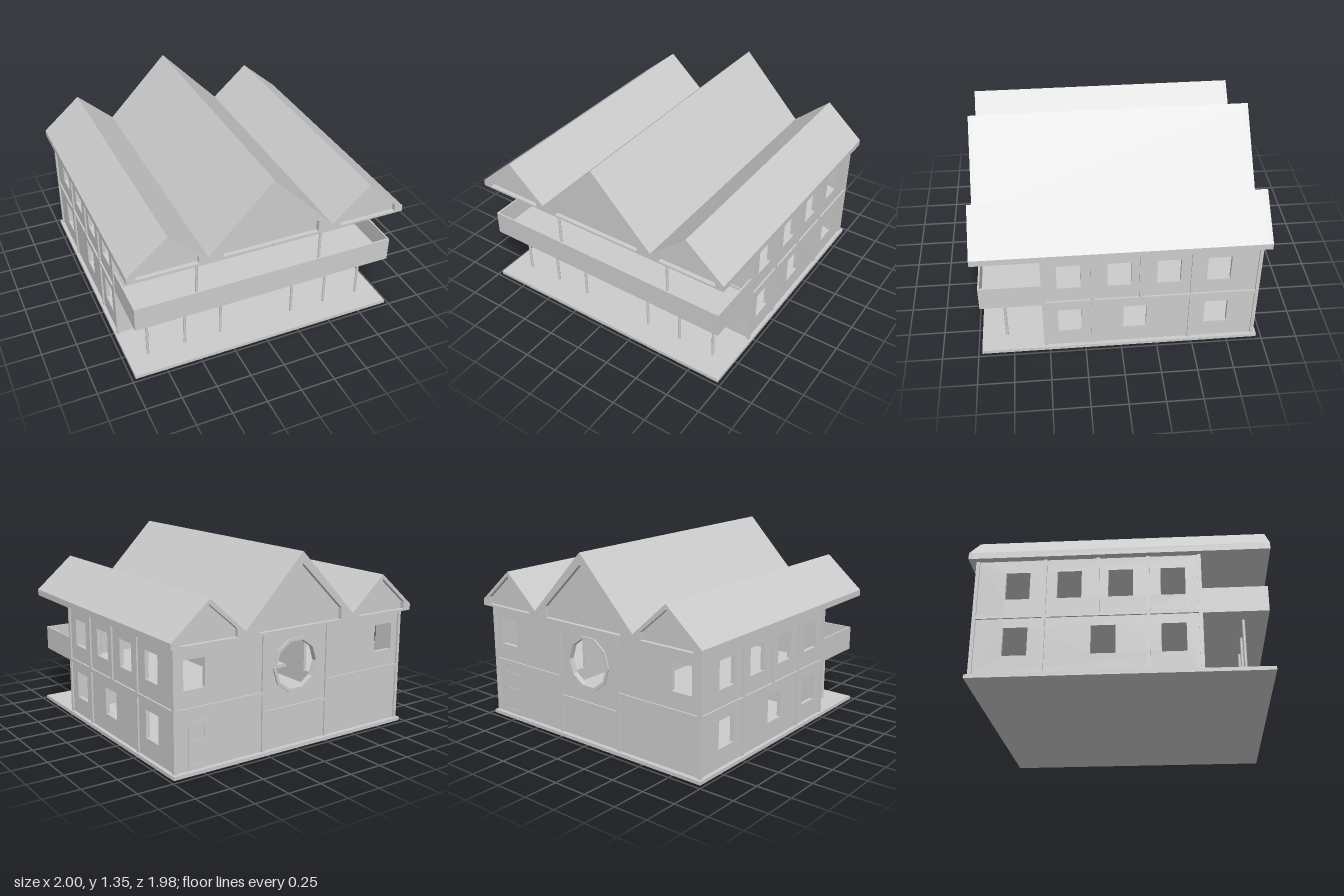
import * as THREE from 'three';

const mat = new THREE.MeshStandardMaterial({ color: 0xcccccc, flatShading: true, side: THREE.DoubleSide });

function add(parent, geo, name) {
  const m = new THREE.Mesh(geo, mat);
  m.name = name;
  parent.add(m);
  return m;
}

// box given by its extents on each axis
function box(parent, name, x0, x1, y0, y1, z0, z1) {
  const m = add(parent, new THREE.BoxGeometry(x1 - x0, y1 - y0, z1 - z0), name);
  m.position.set((x0 + x1) / 2, (y0 + y1) / 2, (z0 + z1) / 2);
  return m;
}

const rect = (u0, u1, v0, v1) => [[u0, v0], [u1, v0], [u1, v1], [u0, v1]];

const polygon = (cx, cy, r, n = 10) =>
  Array.from({ length: n }, (_, i) => {
    const a = (i / n) * Math.PI * 2;
    return [cx + r * Math.cos(a), cy + r * Math.sin(a)];
  });

// flat outline with holes, extruded from z0 to z1
function slab(parent, name, outline, holes, z0, z1) {
  const vec = pts => pts.map(p => new THREE.Vector2(p[0], p[1]));
  const shape = new THREE.Shape(vec(outline));
  holes.forEach(h => shape.holes.push(new THREE.Path(vec(h))));
  const m = add(parent, new THREE.ExtrudeGeometry(shape, { depth: z1 - z0, bevelEnabled: false }), name);
  m.position.z = z0;
  return m;
}

const GROUND = 0.025, FLOOR = 0.415, DECK = 0.44, EAVES = 0.84;
const HALF = 0.96, FRONT = 0.54, BACK = -0.945;
const WALL = 0.04, RECESS = 0.012;

// wall facing local +z with its outer frame plane at z = 0
function facade(name, u0, u1, holes) {
  const g = new THREE.Group();
  g.name = name;
  slab(g, name + 'Panel', rect(u0 + RECESS, u1 - RECESS, GROUND, EAVES), holes, -WALL, -RECESS);
  return g;
}

// timber strip lying on a facade
const strip = (g, u0, u1, v0, v1) => box(g, 'frameTimber', u0, u1, v0, v1, -RECESS - 0.005, 0);

const windowHole = (c, upper) => upper ? rect(c - 0.08, c + 0.08, 0.555, 0.75) : rect(c - 0.08, c + 0.08, 0.155, 0.35);

export function createModel() {
  const house = new THREE.Group();
  house.name = 'house';

  box(house, 'baseSlab', -0.975, 0.975, 0, GROUND, -0.965, 0.975);

  // front wall: double door, round opening, balcony doors and windows
  const front = facade('frontWall', -HALF, HALF, [
    rect(-0.155, 0.155, 0.035, 0.355),
    polygon(0, 0.635, 0.13),
    ...[-1, 1].flatMap(s => [
      windowHole(s * 0.42, false), windowHole(s * 0.475, true),
      rect(s * 0.79 - 0.078, s * 0.79 + 0.078, 0.445, 0.765),
    ]),
  ]);
  front.position.z = FRONT;
  for (const s of [-1, 1]) {
    strip(front, s * 0.27 - 0.011, s * 0.27 + 0.011, GROUND, EAVES);
    strip(front, s * 0.948 - 0.012, s * 0.948 + 0.012, GROUND, EAVES);
    box(front, 'frontDoorLeaf', s * 0.0775 - 0.076, s * 0.0775 + 0.076, 0.035, 0.355, -0.035, -0.022);
    box(front, 'balconyDoor', s * 0.79 - 0.078, s * 0.79 + 0.078, 0.44, 0.765, -0.035, -0.022);
    box(front, 'doorJamb', s * 0.16 - 0.006, s * 0.16 + 0.006, GROUND, 0.355, -0.02, -0.005);
  }
  house.add(front);

  // back wall: large round window, two small windows and a panelled door on the left
  const back = facade('backWall', -HALF, HALF, [
    polygon(0, 0.585, 0.17), windowHole(-0.8, true), windowHole(0.8, true),
  ]);
  back.rotation.y = Math.PI;
  back.position.z = BACK;
  slab(back, 'roundWindowFrame', polygon(0, 0.585, 0.192), [polygon(0, 0.585, 0.17)], -0.02, 0);
  for (const s of [-1, 1]) {
    strip(back, s * 0.27 - 0.011, s * 0.27 + 0.011, GROUND, EAVES);
    strip(back, s * 0.948 - 0.012, s * 0.948 + 0.012, GROUND, EAVES);
    strip(back, Math.min(s * 0.28, s * 0.936), Math.max(s * 0.28, s * 0.936), FLOOR, DECK);
  }
  strip(back, -0.26, 0.26, 0.28, 0.305);
  strip(back, -0.936, 0.936, 0.82, EAVES);
  slab(back, 'backDoor', rect(-0.85, -0.7, GROUND, 0.345),
    [rect(-0.825, -0.725, 0.06, 0.18), rect(-0.825, -0.725, 0.225, 0.315)], -0.015, -0.007);
  house.add(back);

  // side walls, mirrored: u runs along -z on the left, +z on the right
  for (const s of [1, -1]) {
    const u = z => -s * z;
    const span = (za, zb) => [Math.min(u(za), u(zb)), Math.max(u(za), u(zb))];
    const side = facade(s > 0 ? 'leftWall' : 'rightWall', ...span(FRONT, BACK), [
      ...[0.355, -0.095, -0.66].map(z => windowHole(u(z), false)),
      ...[0.355, 0.015, -0.32, -0.66].map(z => windowHole(u(z), true)),
    ]);
    side.rotation.y = s * Math.PI / 2;
    side.position.x = s * HALF;
    strip(side, ...span(FRONT, 0.516), GROUND, EAVES);
    strip(side, ...span(-0.921, BACK), GROUND, EAVES);
    for (const z of [0.195, -0.48]) strip(side, ...span(z + 0.011, z - 0.011), GROUND, EAVES);
    strip(side, ...span(-0.121, -0.143), DECK, EAVES);
    strip(side, ...span(0.516, -0.921), FLOOR, DECK);
    house.add(side);

    // inner wall beside the central hall
    box(house, 'hallWall', s * 0.27 - 0.01, s * 0.27 + 0.01, DECK, EAVES, -0.71, 0.5);
    // storey floor beside the stairwell
    box(house, 'sideFloor', s * 0.6 - 0.33, s * 0.6 + 0.33, FLOOR, DECK, -0.91, -0.5);
  }

  // storey floor, stair and landing
  box(house, 'upperFloor', -0.93, 0.93, FLOOR, DECK, -0.5, 0.51);
  box(house, 'stairLanding', -0.26, 0.26, 0.28, 0.305, -0.91, -0.72);
  const stair = slab(house, 'stairFlight', [[0.335, GROUND], [0.72, GROUND], [0.72, 0.3]], [], -0.12, 0.12);
  stair.rotation.y = Math.PI / 2;
  stair.position.set(-0.12, 0, 0);

  // balcony deck, parapet and posts
  const balcony = new THREE.Group();
  balcony.name = 'balcony';
  house.add(balcony);
  box(balcony, 'balconyDeck', -0.953, 0.953, FLOOR, DECK, FRONT, 0.96);
  box(balcony, 'frontParapet', -0.953, 0.953, FLOOR, 0.59, 0.948, 0.96);
  for (const s of [-1, 1]) {
    box(balcony, 'sideParapet', s * 0.947 - 0.006, s * 0.947 + 0.006, FLOOR, 0.59, FRONT, 0.948);
    for (const x of [0.28, 0.55, 0.825])
      add(balcony, new THREE.CylinderGeometry(0.01, 0.01, FLOOR - GROUND, 10), 'lowerPost')
        .position.set(s * x, (FLOOR + GROUND) / 2, 0.8);
    add(balcony, new THREE.CylinderGeometry(0.01, 0.01, EAVES - DECK, 10), 'upperPost')
      .position.set(s * 0.467, (EAVES + DECK) / 2, 0.825);
  }

  // triple-gabled roof with recessed gable panels at both ends
  const profile = [[-1, EAVES], [1, EAVES], [1, 0.885], [0.72, 1.125], [0.45, 0.885], [0, 1.35],
    [-0.45, 0.885], [-0.72, 1.125], [-1, 0.885]];
  const gable = (c, w, shoulder, peak) =>
    [[c - w, 0.855], [c + w, 0.855], [c + w, shoulder], [c, peak], [c - w, shoulder]];
  const gables = [gable(-0.725, 0.212, 0.908, 1.09), gable(0, 0.345, 0.935, 1.27), gable(0.725, 0.212, 0.908, 1.09)];
  slab(house, 'roof', profile, [], -0.96, 0.96);
  slab(house, 'frontGableTrim', profile, gables, 0.96, 0.99);
  slab(house, 'backGableTrim', profile, gables, -0.99, -0.96);

  return house;
}
